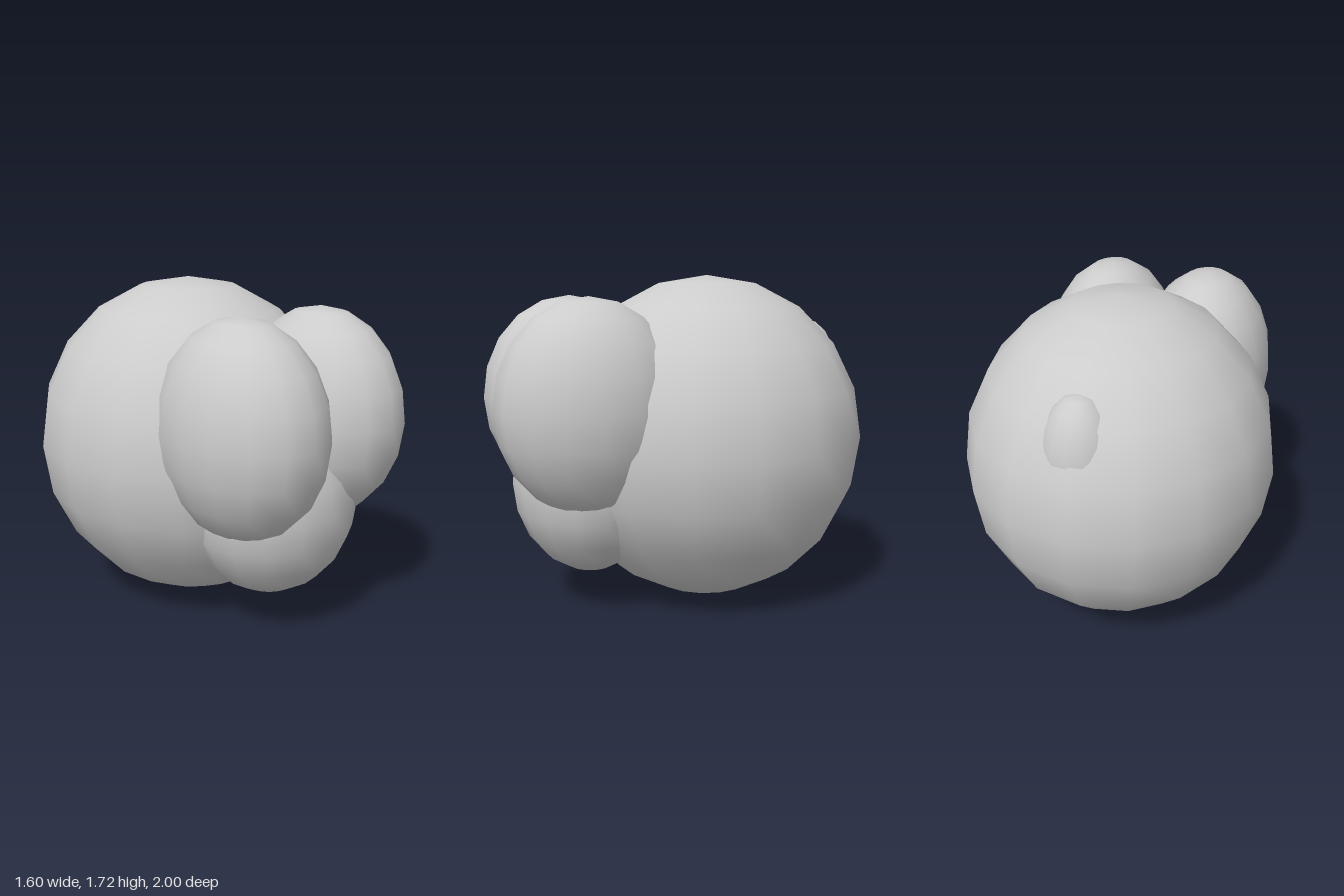
import * as THREE from 'three';

export function createModel() {
  const group = new THREE.Group();
  const grey = new THREE.MeshStandardMaterial({ color: 0xcccccc });
  grey.name = 'light grey';

  // Smooth low-poly ellipsoid with its pole upright
  const blob = (name, radii, position) => {
    const mesh = new THREE.Mesh(new THREE.SphereGeometry(1, 16, 10), grey);
    mesh.name = name;
    mesh.scale.set(...radii);
    mesh.position.set(...position);
    group.add(mesh);
  };

  blob('body', [0.8, 0.86, 0.84], [0, 0.865, -0.16]);
  blob('muzzle', [0.46, 0.49, 0.4], [0, 0.67, 0.49]);

  // Mirrored pair of bulging eyes
  for (const [name, side] of [['leftEye', 1], ['rightEye', -1]]) {
    blob(name, [0.37, 0.54, 0.47], [side * 0.27, 1.08, 0.53]);
  }

  // Small bump high on the back
  blob('backBump', [0.2, 0.34, 0.19], [0.01, 1.15, -0.73]);

  return group;
}
